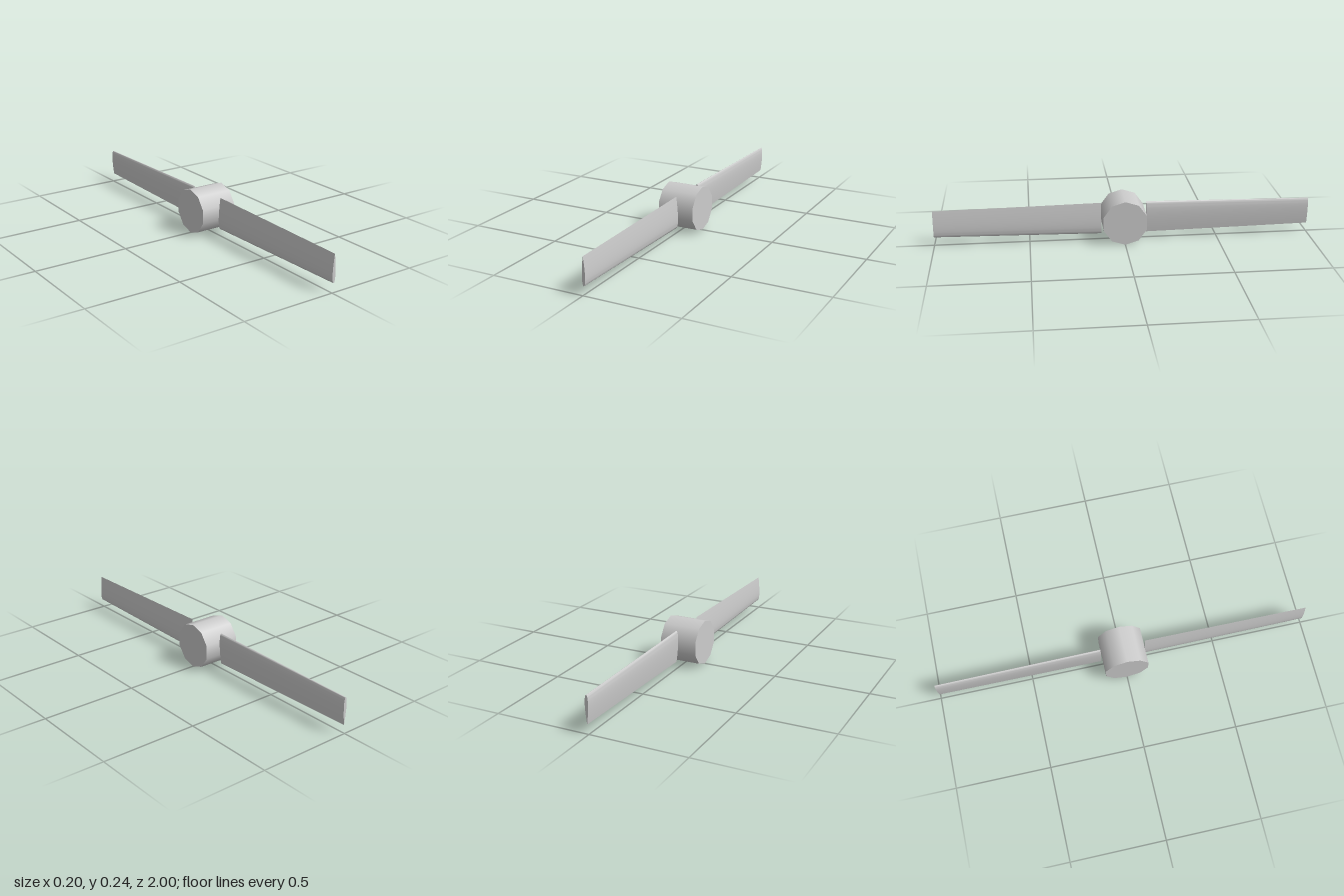
import * as THREE from 'three';
import { toCreasedNormals } from 'three/addons/utils/BufferGeometryUtils.js';

const HUB_RADIUS = 0.12;
const BLADE_X = 0.007;
const ROOT_Z = 0.12, TIP_Z = 1;
const ROOT_CHORD = 0.173, TIP_CHORD = 0.145;

// Half thickness of a symmetric 12% airfoil of unit chord, closed at the trailing edge
function halfThickness(t) {
  return 0.6 * (0.2969 * Math.sqrt(t) - 0.126 * t - 0.3516 * t ** 2 + 0.2843 * t ** 3 - 0.1036 * t ** 4);
}

// Unit-chord airfoil outline: rounded edge at the bottom, sharp edge at the top
function airfoilShape(steps = 20) {
  const points = [];
  for (let i = 0; i < 2 * steps; i++) {
    const a = (i / steps) * Math.PI;
    const t = (1 - Math.cos(a)) / 2;
    const side = i < steps ? 1 : -1;
    points.push(new THREE.Vector2(side * halfThickness(t), t - 0.5));
  }
  return new THREE.Shape(points);
}

// Airfoil extruded along z, then tapered towards the tip
function bladeGeometry() {
  const geo = new THREE.ExtrudeGeometry(airfoilShape(), { depth: 1, steps: 1, bevelEnabled: false });
  const pos = geo.attributes.position;
  for (let i = 0; i < pos.count; i++) {
    const z = pos.getZ(i);
    const chord = THREE.MathUtils.lerp(ROOT_CHORD, TIP_CHORD, z);
    pos.setXYZ(i, pos.getX(i) * chord, pos.getY(i) * chord, THREE.MathUtils.lerp(ROOT_Z, TIP_Z, z));
  }
  return toCreasedNormals(geo, Math.PI / 3);
}

export function createModel() {
  const model = new THREE.Group();
  model.name = 'propeller';
  const material = new THREE.MeshStandardMaterial({ color: 0xcccccc });

  // Ten-sided hub lying along x, with a corner at the top
  const hubGeo = new THREE.CylinderGeometry(HUB_RADIUS, HUB_RADIUS, 0.2, 10, 1, false, Math.PI / 2);
  hubGeo.rotateZ(Math.PI / 2);
  const hub = new THREE.Mesh(hubGeo, material);
  hub.name = 'hub';
  hub.position.y = HUB_RADIUS;
  model.add(hub);

  // Two blades, the rear one turned half a revolution about the hub axis
  const bladeGeo = bladeGeometry();
  ['frontBlade', 'rearBlade'].forEach((name, i) => {
    const blade = new THREE.Mesh(bladeGeo, material);
    blade.name = name;
    blade.position.set(BLADE_X, HUB_RADIUS, 0);
    blade.rotation.x = i * Math.PI;
    model.add(blade);
  });

  return model;
}
